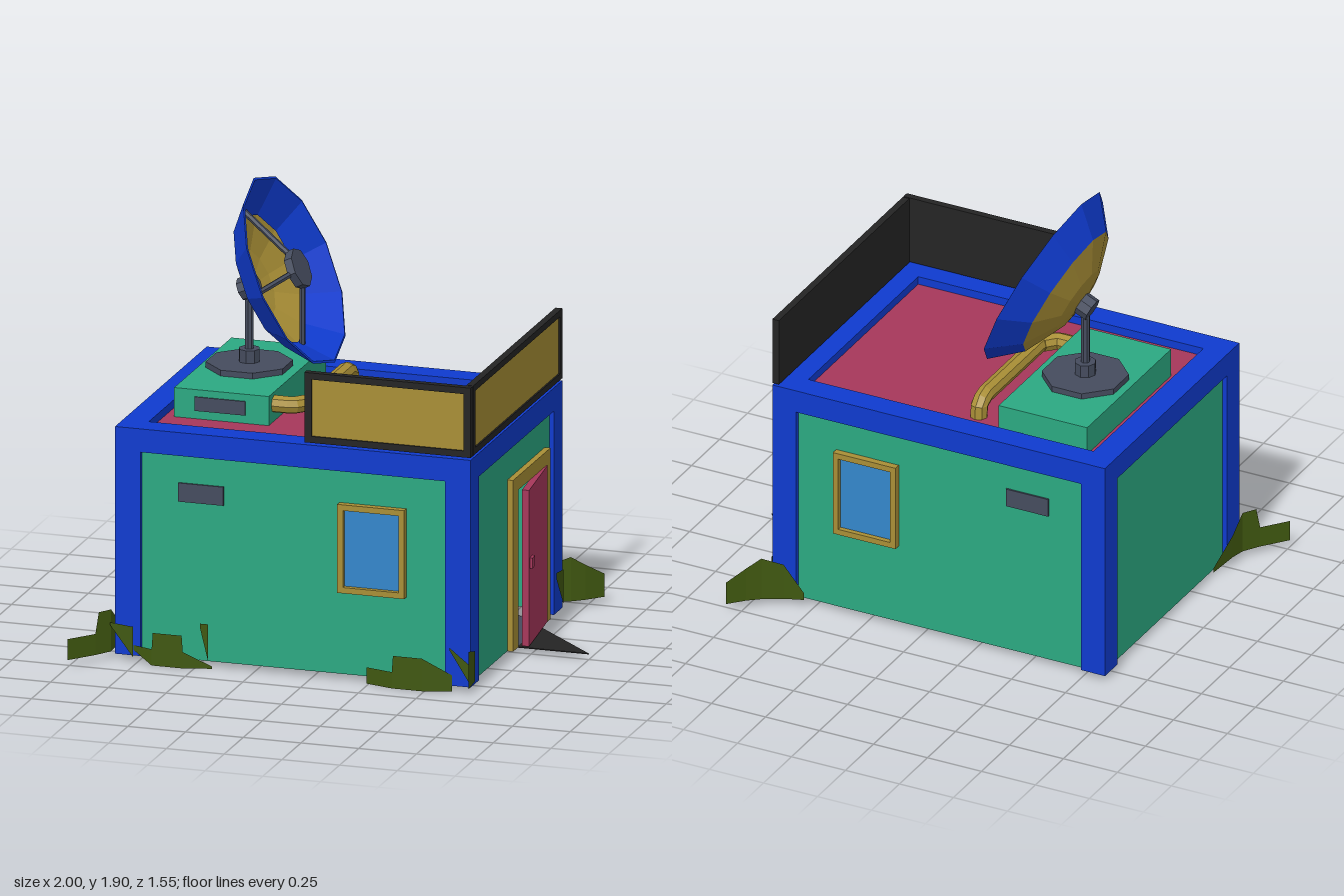
import * as THREE from 'three';

const mat = (name, color, double = false) => {
  const m = new THREE.MeshStandardMaterial({ color, flatShading: true, side: double ? THREE.DoubleSide : THREE.FrontSide });
  m.name = name;
  return m;
};

export function createModel() {
  const green = mat('wall green', 0x2ca982);
  const blue = mat('trim blue', 0x0f3bcf, true);
  const pink = mat('roof crimson', 0xa6375b);
  const gold = mat('ochre', 0xa98f36, true);
  const slate = mat('slate', 0x454c5e, true);
  const black = mat('sign black', 0x242424, true);
  const glass = mat('glass blue', 0x3487cc);
  const olive = mat('leaf olive', 0x405810, true);

  const root = new THREE.Group();
  root.name = 'rooftopDishHut';

  const add = (name, geo, material, parent = root) => {
    const m = new THREE.Mesh(geo, material);
    m.name = name;
    parent.add(m);
    return m;
  };
  // Box given by its limits on each axis
  const box = (name, material, [x0, x1], [y0, y1], [z0, z1], parent = root) => {
    const m = add(name, new THREE.BoxGeometry(x1 - x0, y1 - y0, z1 - z0), material, parent);
    m.position.set((x0 + x1) / 2, (y0 + y1) / 2, (z0 + z1) / 2);
    return m;
  };
  // Straight rod between two points
  const rod = (name, a, b, r, material, parent = root, sides = 6) => {
    const p = new THREE.Vector3(...a), q = new THREE.Vector3(...b);
    const m = add(name, new THREE.CylinderGeometry(r, r, p.distanceTo(q), sides), material, parent);
    m.position.copy(p).lerp(q, 0.5);
    m.quaternion.setFromUnitVectors(new THREE.Vector3(0, 1, 0), q.sub(p).normalize());
    return m;
  };
  // Extruded plate from outline points with an optional hole
  const plate = (outline, hole, depth) => {
    const s = new THREE.Shape(outline.map(p => new THREE.Vector2(...p)));
    if (hole) s.holes.push(new THREE.Path(hole.map(p => new THREE.Vector2(...p))));
    return new THREE.ExtrudeGeometry(s, { depth, bevelEnabled: false });
  };
  const rect = (a, b, c, d) => [[a, c], [b, c], [b, d], [a, d]];

  const X0 = -0.85, X1 = 0.69, Z0 = -0.59, Z1 = 0.61, Y0 = 0.025, W = 0.11;

  // Corner posts and top beams
  for (const x of [X0, X1 - W]) for (const z of [Z0, Z1 - W])
    box('cornerPost', blue, [x, x + W], [Y0, 0.9], [z, z + W]);
  for (const z of [Z0, Z1 - W]) box('longBeam', blue, [X0, X1], [0.9, 1], [z, z + W]);
  for (const x of [X0, X1 - W]) box('sideBeam', blue, [x, x + W], [0.9, 1], [Z0 + W, Z1 - W]);

  // Recessed walls and sunken roof
  box('frontWall', green, [X0 + W, X1 - W], [Y0, 0.9], [Z1 - 0.04, Z1 - 0.02]);
  box('backWall', green, [X0 + W, X1 - W], [Y0, 0.9], [Z0 + 0.02, Z0 + 0.04]);
  box('plainSideWall', green, [X0 + 0.02, X0 + 0.04], [Y0, 0.9], [Z0 + W, Z1 - W]);
  box('roof', pink, [X0 + W, X1 - W], [0.94, 0.965], [Z0 + W, Z1 - W]);

  // Door wall and frame, drawn in (-z, y) and turned to face +x
  const opening = [[0, Y0], [0.36, Y0], [0.36, 0.7], [0, 0.7]];
  const doorWall = add('doorWall', plate(
    [[W - Z1, Y0], [0, Y0], [0, 0.7], [0.36, 0.7], [0.36, Y0], [-Z0 - W, Y0], [-Z0 - W, 0.9], [W - Z1, 0.9]], null, 0.02), green);
  const doorFrame = add('doorFrame', plate(
    [[-0.07, Y0], [0, Y0], opening[3], opening[2], [0.36, Y0], [0.42, Y0], [0.42, 0.76], [-0.07, 0.76]], null, 0.06), gold);
  for (const [m, x] of [[doorWall, X1 - 0.04], [doorFrame, X1 - 0.055]]) {
    m.rotation.y = Math.PI / 2;
    m.position.x = x;
  }

  // Door standing ajar on its hinge
  const door = new THREE.Group();
  door.name = 'door';
  door.position.set(0.67, 0, -0.36);
  door.rotation.y = 0.11;
  box('doorLeaf', pink, [0, 0.03], [0.03, 0.7], [0, 0.36], door);
  box('doorHandle', pink, [0.03, 0.042], [0.36, 0.405], [0.3, 0.345], door);
  root.add(door);

  // Floor slab and doorstep wedge
  const floorPiece = (name, pts, material) => {
    const m = add(name, plate(pts.map(([x, z]) => [x, -z]), null, 0.004), material);
    m.rotation.x = -Math.PI / 2;
    m.position.y = 0.022;
  };
  floorPiece('doorstep', [[0.69, 0], [1, 0], [0.69, -0.3]], black);
  floorPiece('floorSlab', [[0.075, 0], [0.69, 0], [0.69, -0.3], [0.46, -0.52], [0.21, -0.52]], slate);

  // Window and vent on the front and back walls
  for (const back of [false, true]) {
    const g = new THREE.Group();
    g.name = back ? 'backFittings' : 'frontFittings';
    add('windowFrame', plate(rect(0.115, 0.405, 0.38, 0.76), rect(0.14, 0.38, 0.405, 0.735), 0.03), gold, g);
    box('windowGlass', glass, [0.14, 0.38], [0.405, 0.735], [0.002, 0.008], g);
    box('wallVent', slate, [-0.58, -0.385], [0.7, 0.78], [0.001, 0.009], g);
    g.position.z = back ? Z0 + 0.02 : Z1 - 0.02;
    if (back) g.scale.z = -1;
    root.add(g);
  }

  // Sign boards along two roof edges
  const sign = (name, len) => {
    const g = new THREE.Group();
    g.name = name;
    box('signBack', black, [0, len], [1.01, 1.31], [0, 0.018], g);
    add('signRim', plate(rect(0, len, 1.01, 1.31), rect(0.03, len - 0.03, 1.038, 1.282), 0.012), black, g).position.z = 0.018;
    box('signPanel', gold, [0.03, len - 0.03], [1.038, 1.282], [0.018, 0.023], g);
    root.add(g);
    return g;
  };
  sign('frontSign', 0.72).position.set(-0.03, 0, 0.58);
  const sideSign = sign('sideSign', 1.165);
  sideSign.position.set(0.66, 0, 0.575);
  sideSign.rotation.y = Math.PI / 2;

  // Roof unit with its vent and pipe
  box('roofUnit', green, [-0.7, -0.29], [0.96, 1.09], [-0.46, 0.29]);
  box('unitVent', slate, [-0.61, -0.39], [1.0, 1.06], [0.29, 0.296]);
  const path = new THREE.CurvePath();
  const P = [[-0.3, 1.04, 0.22], [-0.21, 1.04, 0.22], [-0.155, 1.04, 0.16], [-0.155, 1.04, -0.32], [-0.155, 1.02, -0.37], [-0.155, 0.96, -0.375]]
    .map(p => new THREE.Vector3(...p));
  for (let i = 0; i < P.length - 1; i++) path.add(new THREE.LineCurve3(P[i], P[i + 1]));
  add('roofPipe', new THREE.TubeGeometry(path, 40, 0.037, 8), gold);

  // Dish stand
  const base = add('standBase', new THREE.CylinderGeometry(0.18, 0.18, 0.025, 8, 1, false, Math.PI / 8), slate);
  base.position.set(-0.5, 1.103, -0.09);
  rod('standCollar', [-0.5, 1.11, -0.09], [-0.5, 1.17, -0.09], 0.045, slate, root, 8);
  rod('standPole', [-0.5, 1.16, -0.09], [-0.5, 1.44, -0.09], 0.019, slate, root, 8);

  // Dish: its axis is local y, tipped towards +x
  const dish = new THREE.Group();
  dish.name = 'dish';
  dish.position.set(-0.305, 1.523, -0.09);
  dish.rotation.z = -1.137;
  const lathe = pts => new THREE.LatheGeometry(pts.map(p => new THREE.Vector2(...p)), 12);
  add('dishRim', lathe([[0.3, -0.115], [0.418, 0], [0.408, 0.002], [0.285, -0.113]]), blue, dish);
  add('dishBowl', lathe([[0, -0.205], [0.15, -0.178], [0.3, -0.115]]), gold, dish);
  rod('dishMount', [0, -0.25, 0], [0, -0.18, 0], 0.05, slate, dish, 8);
  rod('receiver', [0, 0.0, 0], [0, 0.035, 0], 0.085, slate, dish, 8);
  for (let i = 0; i < 4; i++) {
    const a = i * Math.PI / 2, c = Math.cos(a), s = Math.sin(a);
    rod('receiverStrut', [0.3 * c, -0.1, 0.3 * s], [0.05 * c, 0.015, 0.05 * s], 0.013, slate, dish);
  }
  root.add(dish);

  // Weeds: upright strips through [x, z, bottom, top] stations
  const weed = stations => {
    const pos = [], idx = [];
    stations.forEach(([x, z, lo, hi], i) => {
      pos.push(x, lo, z, x, hi, z);
      if (i) idx.push(2 * i - 2, 2 * i, 2 * i - 1, 2 * i - 1, 2 * i, 2 * i + 1);
    });
    const g = new THREE.BufferGeometry();
    g.setAttribute('position', new THREE.Float32BufferAttribute(pos, 3));
    g.setIndex(idx);
    g.computeVertexNormals();
    add('weeds', g, olive);
  };
  weed([[-0.77, 0.612, 0.05, 0.07], [-0.68, 0.645, 0, 0.07], [-0.675, 0.645, 0, 0.14], [-0.55, 0.645, 0, 0.14], [-0.545, 0.645, 0, 0.07], [-0.43, 0.612, 0, 0.01]]);
  weed([[0.24, 0.612, 0, 0.07], [0.36, 0.645, 0, 0.07], [0.365, 0.645, 0, 0.14], [0.49, 0.645, 0, 0.14], [0.61, 0.612, 0, 0.07]]);
  weed([[0.54, -0.595, 0.03, 0.06], [0.62, -0.625, 0.03, 0.19], [0.7, -0.67, 0.03, 0.22], [0.75, -0.71, 0.03, 0.18], [0.81, -0.775, 0.03, 0.13]]);
  weed([[-0.855, 0.37, 0.04, 0.06], [-0.865, 0.52, 0.04, 0.14], [-0.87, 0.6, 0.03, 0.21], [-0.905, 0.655, 0.03, 0.21], [-0.915, 0.67, 0.03, 0.12], [-1, 0.775, 0.03, 0.12]]);
  // Pointed blades against the front corners
  weed([[-0.87, 0.618, 0.15, 0.16], [-0.77, 0.618, 0.02, 0.15]]);
  weed([[0.6, 0.618, 0.18, 0.19], [0.69, 0.618, 0.04, 0.12]]);
  weed([[-0.48, 0.615, 0.17, 0.19], [-0.445, 0.615, 0.03, 0.19]]);
  weed([[0.695, 0.65, 0.03, 0.19], [0.695, 0.57, 0.04, 0.17]]);
  weed([[0.695, -0.5, 0.17, 0.2], [0.695, -0.59, 0.04, 0.19]]);
  return root;
}
